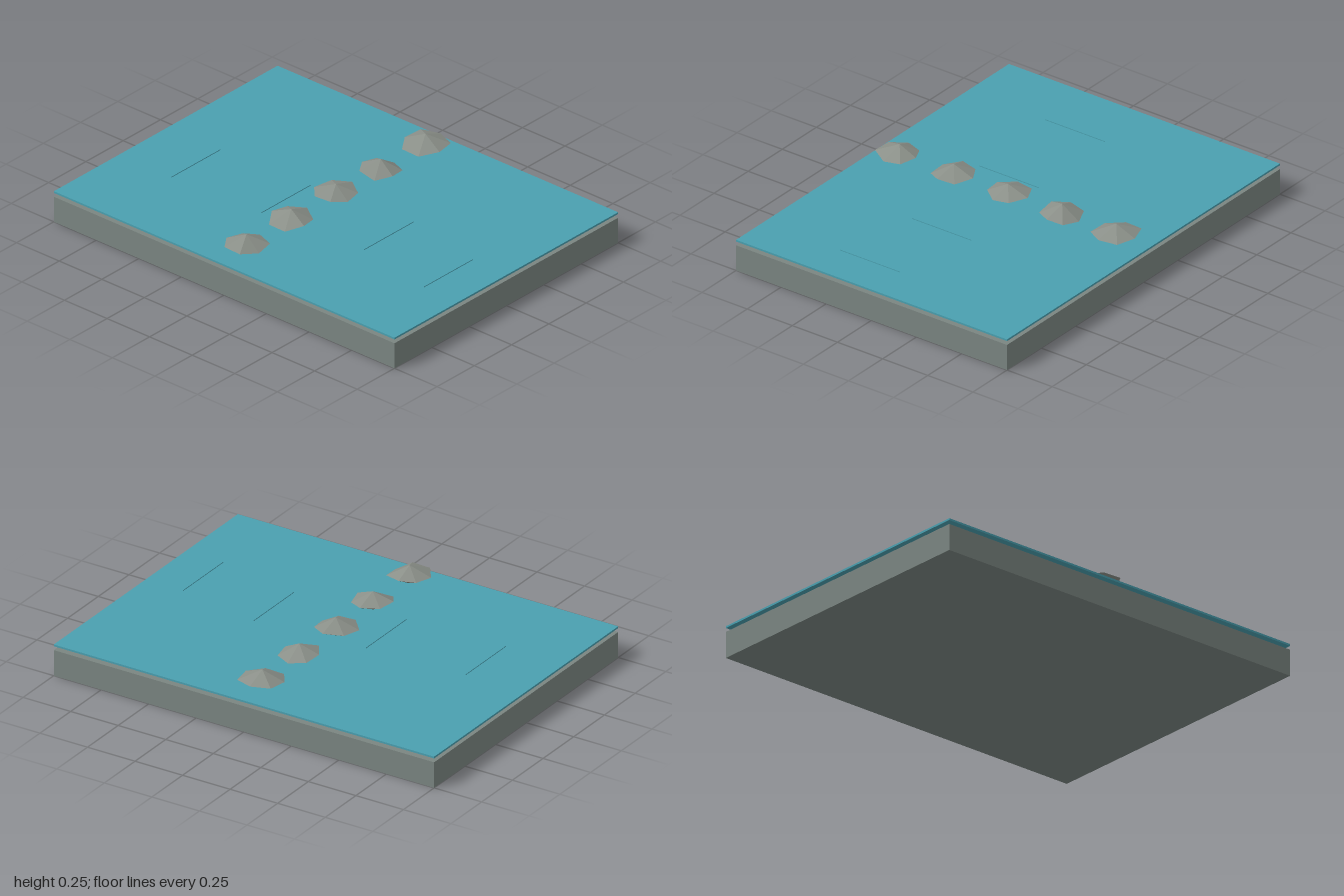
import * as THREE from 'three';

const mat = (name, color, extra = {}) => {
  const m = new THREE.MeshStandardMaterial({ color, ...extra });
  m.name = name;
  return m;
};

// Equator radii and heights of each stone, seven corners from +x towards +z
const STONES = [
  { r: [0.09, 0.104, 0.093, 0.111, 0.106, 0.101, 0.09], y: [0.205, 0.2, 0.19, 0.203, 0.203, 0.2, 0.2] },
  { r: [0.106, 0.097, 0.096, 0.105, 0.107, 0.098, 0.099], y: [0.207, 0.195, 0.203, 0.187, 0.19, 0.21, 0.205] },
  { r: [0.109, 0.098, 0.089, 0.094, 0.102, 0.11, 0.109], y: [0.21, 0.202, 0.195, 0.205, 0.205, 0.2, 0.205] },
  { r: [0.093, 0.096, 0.089, 0.104, 0.103, 0.094, 0.099], y: [0.186, 0.19, 0.197, 0.19, 0.207, 0.205, 0.195] },
  { r: [0.102, 0.112, 0.105, 0.117, 0.113, 0.104, 0.115], y: [0.204, 0.2, 0.2, 0.192, 0.192, 0.2, 0.205] },
];

// Faceted double cone with an uneven seven-sided rim
function stoneGeometry({ r, y }) {
  const n = r.length;
  const pos = [0, 0.245, 0, 0, 0.155, 0];
  const index = [];
  for (let k = 0; k < n; k++) {
    const a = (k / n) * Math.PI * 2;
    pos.push(r[k] * Math.cos(a), y[k], r[k] * Math.sin(a));
    const here = 2 + k, next = 2 + ((k + 1) % n);
    index.push(0, next, here, 1, here, next);
  }
  const indexed = new THREE.BufferGeometry();
  indexed.setAttribute('position', new THREE.Float32BufferAttribute(pos, 3));
  indexed.setIndex(index);
  const g = indexed.toNonIndexed();
  g.computeVertexNormals();
  return g;
}

export function createModel() {
  const group = new THREE.Group();
  group.name = 'steppingStoneStream';
  const bedMat = mat('bed grey', 0x7a8581);
  const waterMat = mat('water teal', 0x4aa0b0);
  const rippleMat = mat('ripple teal', 0x4aa0b0, { side: THREE.DoubleSide });
  const stoneMat = mat('stone grey', 0x8a8f88, { flatShading: true });

  const add = (name, geometry, material, x, y, z) => {
    const mesh = new THREE.Mesh(geometry, material);
    mesh.name = name;
    mesh.position.set(x, y, z);
    group.add(mesh);
  };

  // Stream bed and the water sheet floating just above it
  add('streamBed', new THREE.BoxGeometry(1.5, 0.127, 2), bedMat, 0, 0.0635, 0);
  add('waterSheet', new THREE.BoxGeometry(1.5, 0.009, 2), waterMat, 0, 0.1505, 0);

  // Upright sliver ripples across the water
  [[-0.16, 0.8], [-0.08, 0.38], [-0.13, -0.18], [-0.15, -0.69]].forEach(([x, z], i) =>
    add(`ripple${i + 1}`, new THREE.PlaneGeometry(0.33, 0.006), rippleMat, x, 0.156, z));

  // Row of stepping stones
  STONES.forEach((s, i) =>
    add(`steppingStone${i + 1}`, stoneGeometry(s), stoneMat, -0.6 + i * 0.3, 0, 0));

  return group;
}
